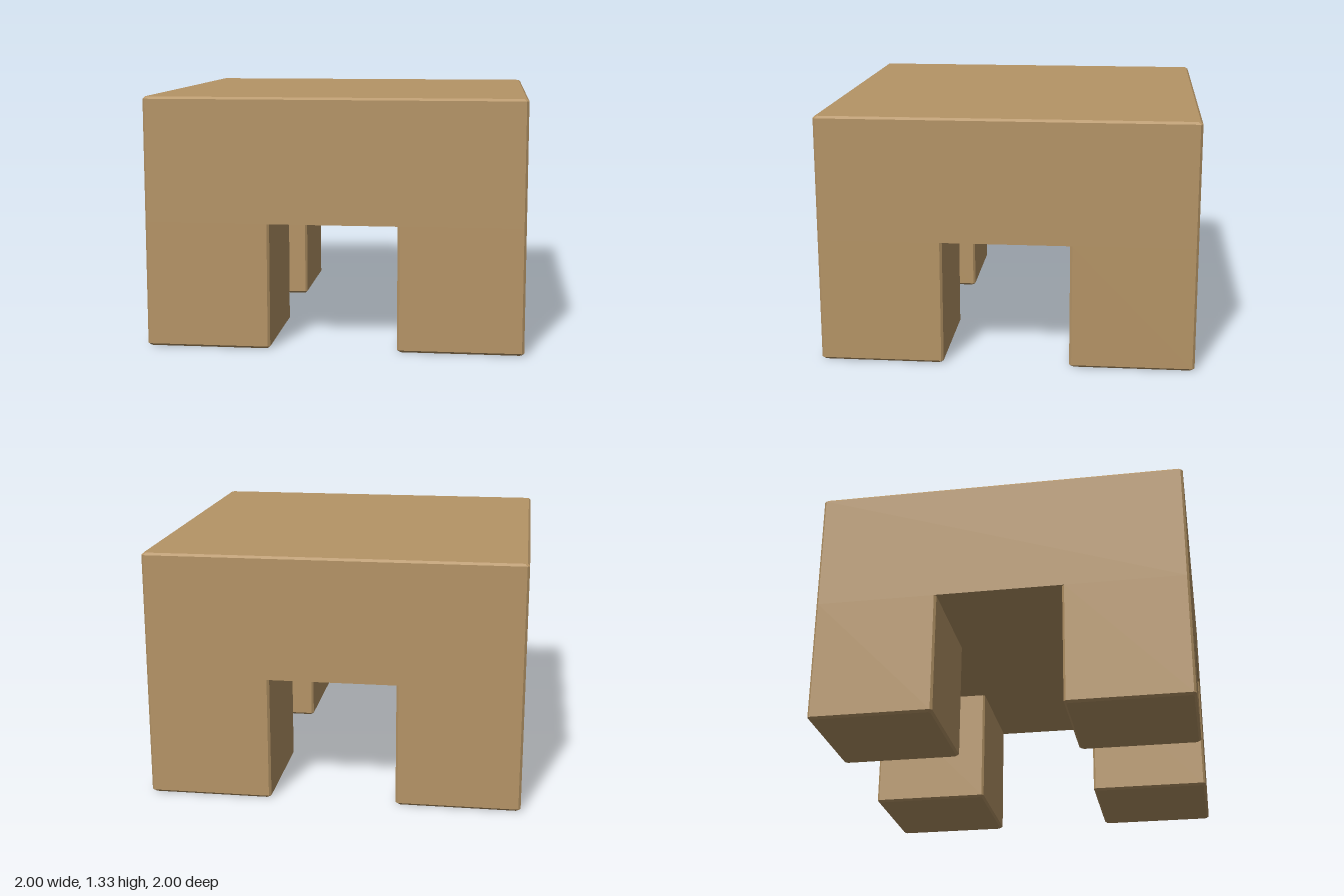
import * as THREE from 'three';

const CHAMFER = 0.012;

// Octagon outline: a square of half-width h with its corners cut by c
function outline(h, c) {
  const k = h - c;
  return [[h, -k], [h, k], [k, h], [-k, h], [-h, k], [-h, -k], [-k, -h], [k, -h]];
}

// Closed block lofted through levels [y, inset] with chamfered upright edges
function chamferedBlock(half, levels, capBottom, capTop) {
  const pos = [];
  const rings = levels.map(([y, inset]) =>
    outline(half - inset, CHAMFER).map(([x, z]) => [x, y, z]));
  const tri = (a, b, c) => pos.push(...a, ...b, ...c);
  for (let i = 0; i < rings.length - 1; i++) {
    const lo = rings[i], hi = rings[i + 1];
    for (let j = 0; j < 8; j++) {
      const n = (j + 1) % 8;
      tri(lo[j], hi[j], hi[n]);
      tri(lo[j], hi[n], lo[n]);
    }
  }
  const bottom = rings[0], top = rings[rings.length - 1];
  for (let j = 1; j < 7; j++) {
    if (capBottom) tri(bottom[0], bottom[j], bottom[j + 1]);
    if (capTop) tri(top[0], top[j + 1], top[j]);
  }
  const geo = new THREE.BufferGeometry();
  geo.setAttribute('position', new THREE.Float32BufferAttribute(pos, 3));
  geo.computeVertexNormals();
  return geo;
}

export function createModel() {
  const group = new THREE.Group();
  group.name = 'blockTable';
  const wood = new THREE.MeshStandardMaterial({ color: 0xb59466 });
  wood.name = 'tan wood';

  const height = 1.333, under = 0.67, gap = 0.337;

  // Thick top slab, chamfered around its upper rim
  const slab = new THREE.Mesh(
    chamferedBlock(1, [[under, 0], [height - CHAMFER, 0], [height, CHAMFER]], true, true), wood);
  slab.name = 'topSlab';
  group.add(slab);

  // Four square legs flush with the slab corners, chamfered at the feet
  const half = (1 - gap) / 2;
  const legGeo = chamferedBlock(half, [[0, CHAMFER], [CHAMFER, 0], [under, 0]], true, false);
  for (const [sx, side] of [[1, 'Left'], [-1, 'Right']]) {
    for (const [sz, end] of [[1, 'front'], [-1, 'back']]) {
      const leg = new THREE.Mesh(legGeo, wood);
      leg.name = `${end}${side}Leg`;
      leg.position.set(sx * (1 - half), 0, sz * (1 - half));
      group.add(leg);
    }
  }
  return group;
}
